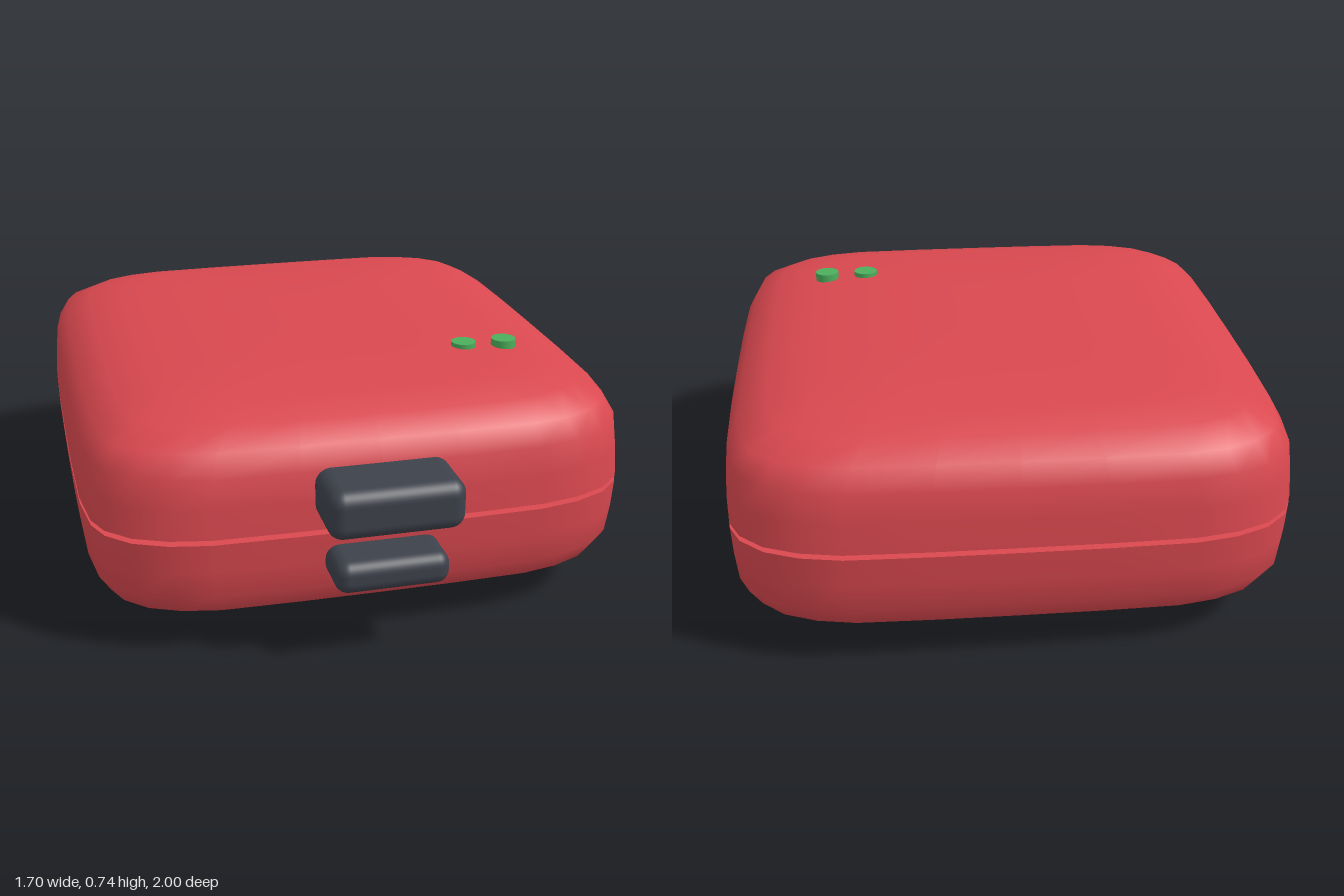
import * as THREE from 'three';
import { RoundedBoxGeometry } from 'three/addons/geometries/RoundedBoxGeometry.js';

const CENTER_Z = -0.085;

// Quarter of the soft-cornered plan outline, from the side middle to the front middle
const QUARTER = [
  [0.85, 0], [0.849, 0.28], [0.843, 0.545], [0.823, 0.7], [0.79, 0.775],
  [0.72, 0.842], [0.62, 0.885], [0.5, 0.908], [0.25, 0.914], [0, 0.915],
];
// Shell section: half width and height above the rim
const SECTION = [
  [0.85, 0], [0.845, 0.09], [0.835, 0.18], [0.8, 0.243], [0.72, 0.289],
  [0.61, 0.318], [0.43, 0.335], [0.22, 0.339],
];

// Full outline, mirrored from the quarter
function outline() {
  const half = [...QUARTER, ...QUARTER.slice(0, -1).reverse().map(([x, z]) => [-x, z])];
  return [...half, ...half.slice(1, -1).reverse().map(([x, z]) => [x, -z])];
}

// Half shell: stacked inset rings, a crown point and a flat rim cap
function shellGeometry() {
  const ring = outline();
  const n = ring.length;
  const pos = [];
  const idx = [];
  for (const [w, y] of SECTION) {
    const inset = 0.85 - w;
    for (const [x, z] of ring) pos.push(x * w / 0.85, y, z * (0.915 - inset) / 0.915);
  }
  const crown = pos.length / 3;
  pos.push(0, 0.34, 0);
  const cap = crown + 1;
  for (const [x, z] of ring) pos.push(x, 0, z);
  pos.push(0, 0, 0);
  for (let i = 0; i < n; i++) {
    const j = (i + 1) % n;
    for (let r = 0; r < SECTION.length - 1; r++) {
      const a = r * n + i, b = r * n + j;
      idx.push(a, a + n, b, b, a + n, b + n);
    }
    const last = (SECTION.length - 1) * n;
    idx.push(last + i, crown, last + j);
    idx.push(cap + i, cap + j, cap + n);
  }
  const g = new THREE.BufferGeometry();
  g.setAttribute('position', new THREE.Float32BufferAttribute(pos, 3));
  g.setIndex(idx);
  g.computeVertexNormals();
  return g;
}

// Dark inner core seen through the seam
function coreGeometry() {
  const shape = new THREE.Shape(outline().map(([x, z]) => new THREE.Vector2(x * 0.715 / 0.85, z * 0.75 / 0.915)));
  return new THREE.ExtrudeGeometry(shape, { depth: 0.06, bevelEnabled: false }).rotateX(-Math.PI / 2);
}

export function createModel() {
  const red = new THREE.MeshStandardMaterial({ color: 0xd9484f });
  red.name = 'red shell';
  const dark = new THREE.MeshStandardMaterial({ color: 0x3d414b });
  dark.name = 'dark grey';
  const green = new THREE.MeshStandardMaterial({ color: 0x4caf5c });
  green.name = 'green';

  const model = new THREE.Group();
  model.name = 'case';
  const add = (name, geometry, material, x, y, z) => {
    const mesh = new THREE.Mesh(geometry, material);
    mesh.name = name;
    mesh.position.set(x, y, z);
    model.add(mesh);
    return mesh;
  };

  // Lid and base are the same half shell, one turned over
  const shell = shellGeometry();
  add('lid', shell, red, 0, 0.39, CENTER_Z);
  add('base', shell, red, 0, 0.374, CENTER_Z).rotation.z = Math.PI;
  add('core', coreGeometry(), dark, 0, 0.352, CENTER_Z + 0.005);

  // Front latch
  add('upperLatch', new RoundedBoxGeometry(0.4, 0.15, 0.24, 4, 0.045), dark, 0, 0.5, 0.88);
  add('lowerLatch', new RoundedBoxGeometry(0.34, 0.1, 0.18, 4, 0.04), dark, 0, 0.285, 0.875);

  // Feet with rounded bottoms
  const footProfile = [[0, 0], [0.045, 0.003], [0.068, 0.011], [0.079, 0.023], [0.08, 0.04], [0.075, 0.065], [0, 0.065]];
  const foot = new THREE.LatheGeometry(footProfile.map(([x, y]) => new THREE.Vector2(x, y)), 24);
  for (const x of [-0.44, 0.44])
    for (const z of [-0.585, 0.435]) add('foot', foot, dark, x, 0.002, z);

  // Indicator buttons on the lid
  const button = new THREE.CylinderGeometry(0.039, 0.039, 0.04, 24);
  for (const x of [0.405, 0.54]) add('button', button, green, x, 0.719, 0.325);

  return model;
}
